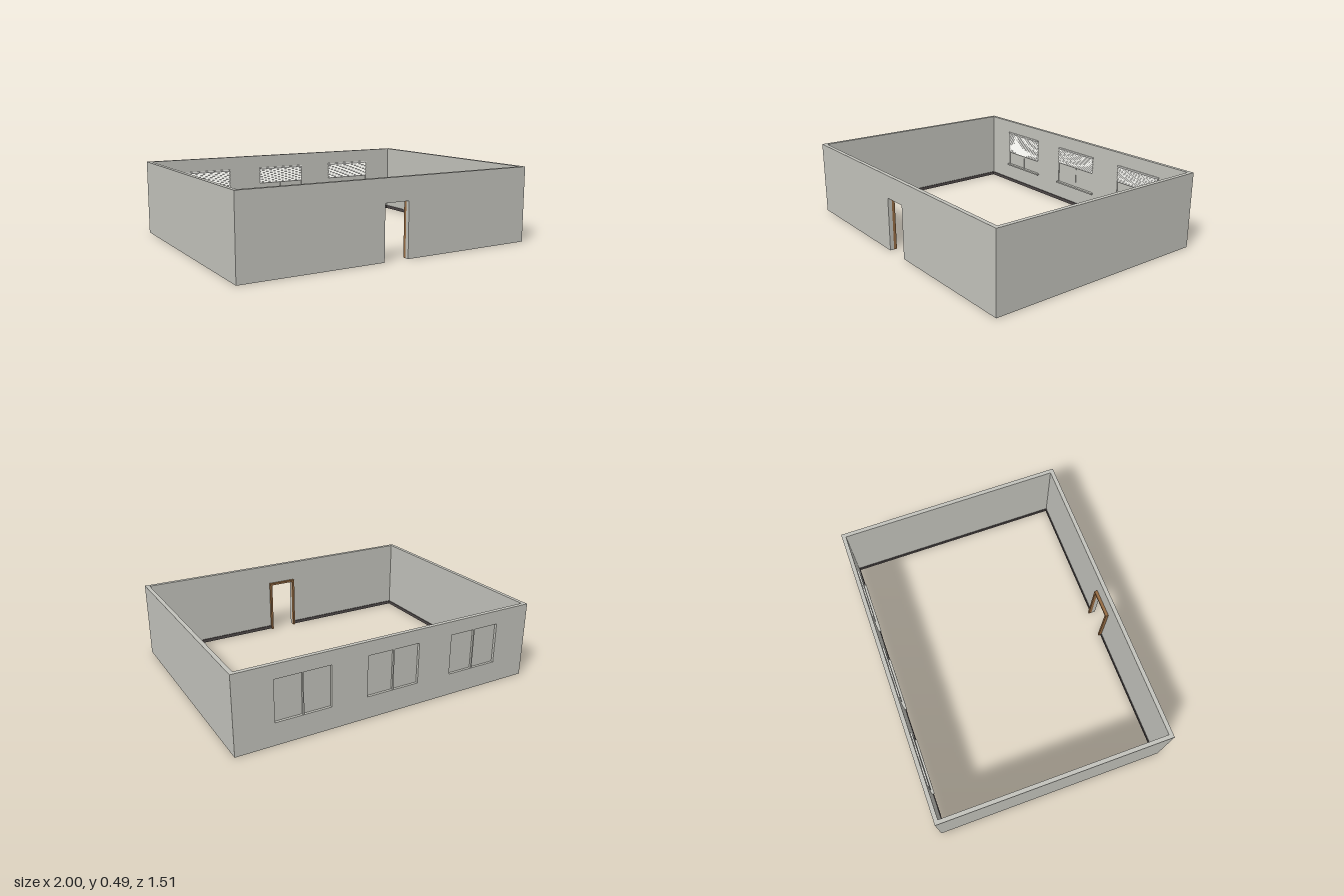
import * as THREE from 'three';

const W = 2, D = 1.51, H = 0.49, T = 0.026; // room width, depth, height, wall thickness

export function createModel() {
  const room = new THREE.Group();
  room.name = 'room';
  const mat = (name, color) => {
    const m = new THREE.MeshStandardMaterial({ color });
    m.name = name;
    return m;
  };
  const plaster = mat('plaster', 0xc2c2bb);
  const wood = mat('wood', 0x946a42);
  const skirting = mat('skirting', 0x4e4848);
  const blindWhite = mat('blindWhite', 0xe8e8e3);

  const add = (parent, name, geometry, material, x = 0, y = 0, z = 0) => {
    const mesh = new THREE.Mesh(geometry, material);
    mesh.name = name;
    mesh.position.set(x, y, z);
    parent.add(mesh);
    return mesh;
  };
  const box = (parent, name, w, h, d, material, x, y, z) =>
    add(parent, name, new THREE.BoxGeometry(w, h, d), material, x, y, z);
  const poly = (points, Type) => new Type(points.map(([x, y]) => new THREE.Vector2(x, y)));
  const slab = (shape, depth) =>
    new THREE.ExtrudeGeometry(shape, { depth, bevelEnabled: false });

  const inZ = D / 2 - T, inX = W / 2 - T;
  const doorX = 0.083, doorH = 0.345;

  // Front wall with the doorway cut out of its lower edge
  const front = poly([
    [-W / 2, 0], [-doorX, 0], [-doorX, doorH], [doorX, doorH],
    [doorX, 0], [W / 2, 0], [W / 2, H], [-W / 2, H],
  ], THREE.Shape);
  add(room, 'frontWall', slab(front, T), plaster, 0, 0, inZ);

  // Back wall with three window openings
  const windowXs = [-0.585, 0, 0.585];
  const winW = 0.35, winLow = 0.142, winTop = 0.402;
  const back = poly([[-W / 2, 0], [W / 2, 0], [W / 2, H], [-W / 2, H]], THREE.Shape);
  for (const x of windowXs) {
    const l = x - winW / 2, r = x + winW / 2;
    back.holes.push(poly([[l, winLow], [l, winTop], [r, winTop], [r, winLow]], THREE.Path));
  }
  add(room, 'backWall', slab(back, T), plaster, 0, 0, -D / 2);

  // Side walls and their skirting
  for (const s of [-1, 1]) {
    box(room, 'sideWall', T, H, 2 * inZ, plaster, s * (W / 2 - T / 2), H / 2, 0);
    box(room, 'sideSkirting', 0.006, 0.022, 2 * inZ, skirting, s * (inX - 0.003), 0.011, 0);
    const len = inX - 0.097;
    box(room, 'frontSkirting', len, 0.022, 0.006, skirting,
      s * (0.097 + len / 2), 0.011, inZ - 0.003);
  }
  box(room, 'backSkirting', 2 * inX, 0.022, 0.006, skirting, 0, 0.011, -inZ + 0.003);

  // Wooden trim around the inside of the doorway
  const trim = poly([
    [-0.096, 0], [-doorX, 0], [-doorX, doorH], [doorX, doorH],
    [doorX, 0], [0.096, 0], [0.096, 0.358], [-0.096, 0.358],
  ], THREE.Shape);
  add(room, 'doorTrim', slab(trim, 0.02), wood, 0, 0, inZ - 0.02);

  // Windows: recessed pane, mullion, inner sill and slatted blind
  const blindLow = [0.235, 0.288, 0.288];
  windowXs.forEach((x, i) => {
    const win = new THREE.Group();
    win.name = 'window';
    win.position.x = x;
    room.add(win);
    const winH = winTop - winLow, midY = (winTop + winLow) / 2;
    box(win, 'pane', winW, winH, 0.004, plaster, 0, midY, -inZ - 0.008);
    box(win, 'mullion', 0.008, winH, 0.02, plaster, 0, midY, -inZ - 0.013);
    box(win, 'sill', 0.37, 0.01, 0.024, plaster, 0, winLow - 0.005, -inZ + 0.004);

    const blind = new THREE.Group();
    blind.name = 'blind';
    win.add(blind);
    box(blind, 'headRail', winW, 0.01, 0.014, blindWhite, 0, winTop - 0.005, -inZ + 0.002);
    const count = Math.round((winTop - 0.012 - blindLow[i]) / 0.0095);
    for (let k = 0; k < count; k++) {
      const slat = box(blind, 'slat', winW - 0.004, 0.0015, 0.013, blindWhite,
        0, winTop - 0.016 - k * 0.0095, -inZ + 0.002);
      slat.rotation.x = 0.6;
    }
  });
  return room;
}
